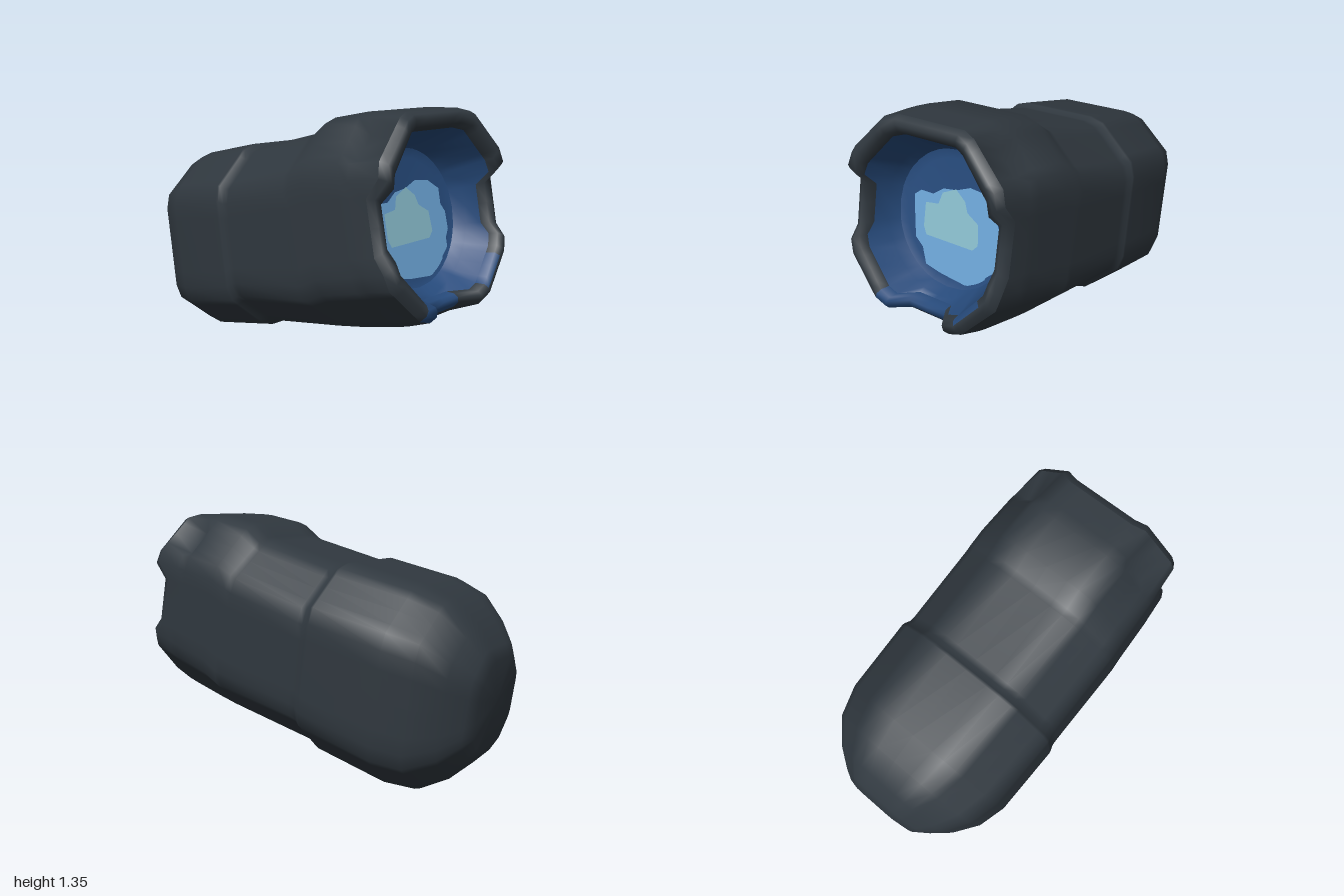
import * as THREE from 'three';

const mat = (name, color, side = THREE.FrontSide) => {
  const m = new THREE.MeshStandardMaterial({ color, side });
  m.name = name;
  return m;
};

// Positions along each octagon edge; dense near the corners so they stay soft but defined
const STEPS = [0.1, 0.25, 0.5, 0.75, 0.9];
const N = 8 * STEPS.length;

// Octagonal section, counter-clockwise from the right side: half width, top, bottom, flat half width, chamfer drop
function octagon(hw, top, bot, flat, drop) {
  const c = [
    [hw, bot + drop], [hw, top - drop], [flat, top], [-flat, top],
    [-hw, top - drop], [-hw, bot + drop], [-flat, bot], [flat, bot],
  ];
  const pts = [];
  for (let e = 0; e < 8; e++) {
    const a = c[e], b = c[(e + 1) % 8];
    for (const t of STEPS) pts.push([a[0] + (b[0] - a[0]) * t, a[1] + (b[1] - a[1]) * t]);
  }
  return pts;
}

const ring = (pts, depth) => pts.map(([x, y], i) => [x, y, depth(i, x, y)]);

// Skin a list of equal-length rings; pick(band, i) chooses a material slot
function loft(rings, slots = 1, pick = () => 0) {
  const index = Array.from({ length: slots }, () => []);
  for (let k = 0; k < rings.length - 1; k++) {
    for (let i = 0; i < N; i++) {
      const j = (i + 1) % N;
      const a = k * N + i, b = k * N + j, c = b + N, d = a + N;
      index[pick(k, i)].push(a, b, c, a, c, d);
    }
  }
  const g = new THREE.BufferGeometry();
  g.setAttribute('position', new THREE.Float32BufferAttribute(rings.flat(2), 3));
  g.setIndex(index.flat());
  let start = 0;
  index.forEach((list, s) => {
    if (slots > 1) g.addGroup(start, list.length, s);
    start += list.length;
  });
  g.computeVertexNormals();
  return g;
}

// Front lip depth: corners stand proud, sides and bottom centre are cut back
function lipDepth(i) {
  const edge = Math.floor(i / STEPS.length);
  const t = STEPS[i % STEPS.length];
  const middle = t > 0.2 && t < 0.8;
  const upper = 0.99, lower = 0.945;
  if (edge === 2) return 0.97;
  if (edge === 1 || edge === 3) return upper;
  if (edge === 5 || edge === 7) return lower;
  if (edge === 6) return middle ? 0.85 : lower;
  if (middle) return 0.905;
  return (edge === 0) === (t > 0.5) ? upper : lower;
}

export function createModel() {
  const dark = mat('charcoal', 0x30383f);
  const blue = mat('deepBlue', 0x264a7b);
  const sky = mat('skyBlue', 0x6ca5d6);
  const pale = mat('paleBlue', 0x89bdcc);

  const model = new THREE.Group();
  model.name = 'housingModel';
  const tilted = new THREE.Group();
  tilted.name = 'tiltedHousing';
  tilted.position.y = 0.67;
  tilted.rotation.x = -0.2094;
  model.add(tilted);
  const add = (name, geometry, material) => {
    const m = new THREE.Mesh(geometry, material);
    m.name = name;
    tilted.add(m);
    return m;
  };

  // Shell stations: depth, half width, top, bottom, flat half width, chamfer drop
  const stations = [
    [-0.995, 0.22, 0.22, -0.24, 0.12, 0.12],
    [-0.96, 0.27, 0.27, -0.31, 0.15, 0.14],
    [-0.88, 0.36, 0.36, -0.42, 0.18, 0.17],
    [-0.75, 0.45, 0.455, -0.52, 0.22, 0.2],
    [-0.59, 0.495, 0.487, -0.545, 0.25, 0.22],
    [-0.18, 0.505, 0.487, -0.53, 0.26, 0.22],
    [-0.165, 0.502, 0.482, -0.526, 0.26, 0.22],
    [-0.135, 0.492, 0.463, -0.507, 0.25, 0.22],
    [-0.1, 0.49, 0.462, -0.506, 0.25, 0.22],
    [0.36, 0.49, 0.476, -0.507, 0.25, 0.21],
    [0.4, 0.49, 0.485, -0.507, 0.25, 0.21],
    [0.5, 0.485, 0.535, -0.506, 0.25, 0.24],
    [0.72, 0.475, 0.53, -0.492, 0.25, 0.24],
    [0.78, 0.47, 0.522, -0.486, 0.25, 0.24],
  ];
  const body = stations.map(([w, ...s]) =>
    ring(octagon(...s), (i, x, y) => w + (w < 0 ? 0.07 * y : 0)));
  // Small pressed notches in the hood's upper corners
  const notch = body[body.length - 1];
  for (const i of [6, 7, 8, 16, 17, 18]) {
    notch[i][0] *= 0.9;
    notch[i][1] *= 0.9;
  }
  const backCap = body[0].map(() => [0, 0, -0.998]);

  // Rounded lip around the opening
  const lip = [
    ring(octagon(0.458, 0.495, -0.465, 0.24, 0.22), (i) => lipDepth(i) - 0.04),
    ring(octagon(0.44, 0.475, -0.44, 0.23, 0.22), (i) => lipDepth(i) - 0.005),
    ring(octagon(0.42, 0.45, -0.415, 0.22, 0.21), lipDepth),
    ring(octagon(0.395, 0.42, -0.395, 0.21, 0.21), (i) => lipDepth(i) - 0.015),
    ring(octagon(0.385, 0.405, -0.385, 0.2, 0.2), (i) => lipDepth(i) - 0.06),
  ];
  add('shell', loft([backCap, ...body, lip[0]]), dark);
  // Blue paint runs over the lip at the bottom
  const lipBlue = (k, i) => (i >= 29 && i <= 32) || (k >= 2 && i >= 35 && i <= 37) ? 1 : 0;
  add('frontLip', loft(lip, 2, lipBlue), [dark, blue]);

  // Recessed bowl behind the lip
  const rim = lip[lip.length - 1];
  const circle = (r, w) => rim.map(([x, y]) => {
    const l = Math.hypot(x, y);
    return [x / l * r, y / l * r, w];
  });
  add('bowlWall', loft([rim, circle(0.375, 0.77), circle(0.345, 0.71)]), blue);
  add('bowlFloor', loft([circle(0.345, 0.71), circle(0.3, 0.695), circle(0, 0.69)]), blue);

  // Irregular glow patches on the bowl floor
  const patch = (name, pts, w, material) => {
    const shape = new THREE.Shape(pts.map(([x, y]) => new THREE.Vector2(x, (y - 0.816) / 0.978)));
    add(name, new THREE.ShapeGeometry(shape), material).position.z = w;
  };
  patch('outerGlow', [
    [-0.26, 0.88], [-0.25, 0.8], [-0.24, 0.73], [-0.23, 0.67], [-0.18, 0.63], [-0.15, 0.55],
    [-0.05, 0.53], [0.1, 0.515], [0.2, 0.53], [0.22, 0.59], [0.27, 0.63], [0.27, 0.68],
    [0.295, 0.72], [0.29, 0.81], [0.26, 0.85], [0.26, 0.93], [0.18, 0.98], [0.08, 0.99],
    [0, 0.96], [-0.08, 0.95], [-0.14, 0.91], [-0.22, 0.91],
  ], 0.704, sky);
  patch('innerGlow', [
    [-0.18, 0.86], [-0.18, 0.74], [-0.16, 0.7], [0.13, 0.7], [0.16, 0.73], [0.15, 0.83],
    [0.08, 0.87], [0.06, 0.92], [0, 0.965], [-0.08, 0.93], [-0.1, 0.87],
  ], 0.709, pale);

  return model;
}
